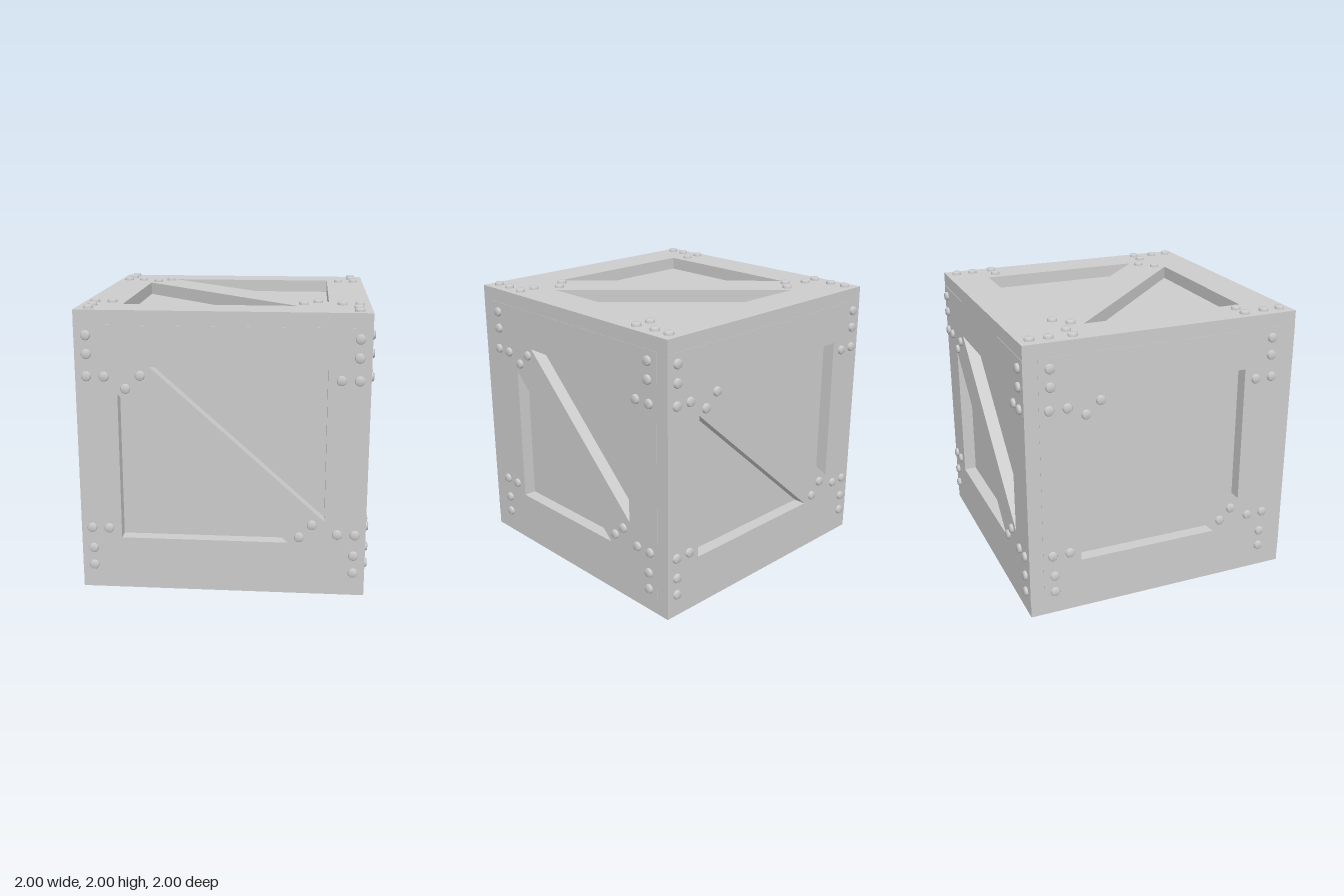
import * as THREE from 'three';

const material = new THREE.MeshStandardMaterial({ color: 0xcccccc });
const HALF = 0.977;      // centre to outer board surface
const THICK = 0.1;       // board thickness
const PANEL = 0.887;     // centre to recessed panel surface

// Domed rivet with a chamfered rim, pointing along +z
const rivetGeometry = new THREE.LatheGeometry([
  [0.033, -0.005], [0.033, 0.012], [0.026, 0.023], [0, 0.023],
].map(([r, h]) => new THREE.Vector2(r, h)), 14).rotateX(Math.PI / 2);

// Each face is drawn flat: u to the right, v up, both measured from the face centre.
// uOut, vOut: outer frame size; uIn, vIn: opening; cut: where the brace meets the frame.
const FRONT = {
  uOut: 0.975, vOut: 0.88, uIn: 0.695, vIn: 0.605,
  cut: { topU: -0.48, rightV: -0.445, bottomU: 0.45, leftV: 0.415 },
  plankRivets: [[0.895, 0.81], [0.895, 0.685]],
  postRivets: [[0.9, 0.535], [0.782, 0.535]],
  braceRivets: [[-0.64, 0.455], [-0.54, 0.545], [0.61, -0.47], [0.525, -0.56]],
};
const SIDE = {
  uOut: 0.878, vOut: 0.88, uIn: 0.605, vIn: 0.605,
  cut: { topU: -0.42, rightV: -0.38, bottomU: 0.41, leftV: 0.4 },
  plankRivets: [[0.8, 0.808], [0.8, 0.685]],
  postRivets: [[0.812, 0.528], [0.688, 0.528]],
  braceRivets: [[-0.56, 0.465], [-0.46, 0.55], [0.545, -0.445], [0.46, -0.525]],
};
const LID = {
  uOut: 0.975, vOut: 0.975, uIn: 0.695, vIn: 0.697,
  cut: { topU: -0.53, rightV: -0.49, bottomU: 0.48, leftV: 0.46 },
  plankRivets: [[0.888, 0.898], [0.888, 0.773]],
  postRivets: [[0.902, 0.617], [0.784, 0.617]],
  braceRivets: [[-0.65, 0.535], [-0.56, 0.63], [0.62, -0.53], [0.525, -0.625]],
};

function addMesh(parent, name, geometry, x, y, z) {
  const mesh = new THREE.Mesh(geometry, material);
  mesh.name = name;
  mesh.position.set(x, y, z);
  parent.add(mesh);
}

// flip = -1 turns the layout upside down, as needed for the underside
function buildFace(name, f, flip = 1) {
  const face = new THREE.Group();
  face.name = name;
  const mid = HALF - THICK / 2;

  for (const s of [-1, 1]) {
    // long planks along the top and bottom
    addMesh(face, 'plank', new THREE.BoxGeometry(2 * f.uOut, f.vOut - f.vIn, THICK),
      0, s * (f.vOut + f.vIn) / 2, mid);
    // upright posts between them
    addMesh(face, 'post', new THREE.BoxGeometry(f.uOut - f.uIn, 2 * f.vIn, THICK),
      s * (f.uOut + f.uIn) / 2, 0, mid);
  }

  // diagonal brace trimmed to the corners of the opening
  const { topU, rightV, bottomU, leftV } = f.cut;
  const outline = [
    [-f.uIn, f.vIn], [topU, f.vIn], [f.uIn, rightV],
    [f.uIn, -f.vIn], [bottomU, -f.vIn], [-f.uIn, leftV],
  ].map(([u, v]) => new THREE.Vector2(u, v * flip));
  addMesh(face, 'diagonalBrace', new THREE.ExtrudeGeometry(new THREE.Shape(outline),
    { depth: THICK, bevelEnabled: false }), 0, 0, HALF - THICK);

  // rivets: mirrored into all four corners, plus pairs at the brace ends
  for (const [u, v] of [...f.plankRivets, ...f.postRivets])
    for (const su of [-1, 1])
      for (const sv of [-1, 1])
        addMesh(face, 'rivet', rivetGeometry, su * u, sv * v, HALF);
  for (const [u, v] of f.braceRivets)
    addMesh(face, 'rivet', rivetGeometry, u, v * flip, HALF);
  return face;
}

export function createModel() {
  const crate = new THREE.Group();
  crate.name = 'crate';

  // recessed panels: one solid core behind the frames
  addMesh(crate, 'innerPanels', new THREE.BoxGeometry(2 * PANEL, 2 * PANEL, 2 * PANEL), 0, 1, 0);

  // name, layout, rotation about x, rotation about y, flip
  const faces = [
    ['frontFace', FRONT, 0, 0, 1],
    ['backFace', FRONT, 0, Math.PI, 1],
    ['rightFace', SIDE, 0, Math.PI / 2, 1],
    ['leftFace', SIDE, 0, -Math.PI / 2, 1],
    ['topFace', LID, -Math.PI / 2, 0, 1],
    ['bottomFace', LID, Math.PI / 2, 0, -1],
  ];
  for (const [name, layout, rx, ry, flip] of faces) {
    const face = buildFace(name, layout, flip);
    face.rotation.set(rx, ry, 0);
    face.position.y = 1;
    crate.add(face);
  }
  return crate;
}
